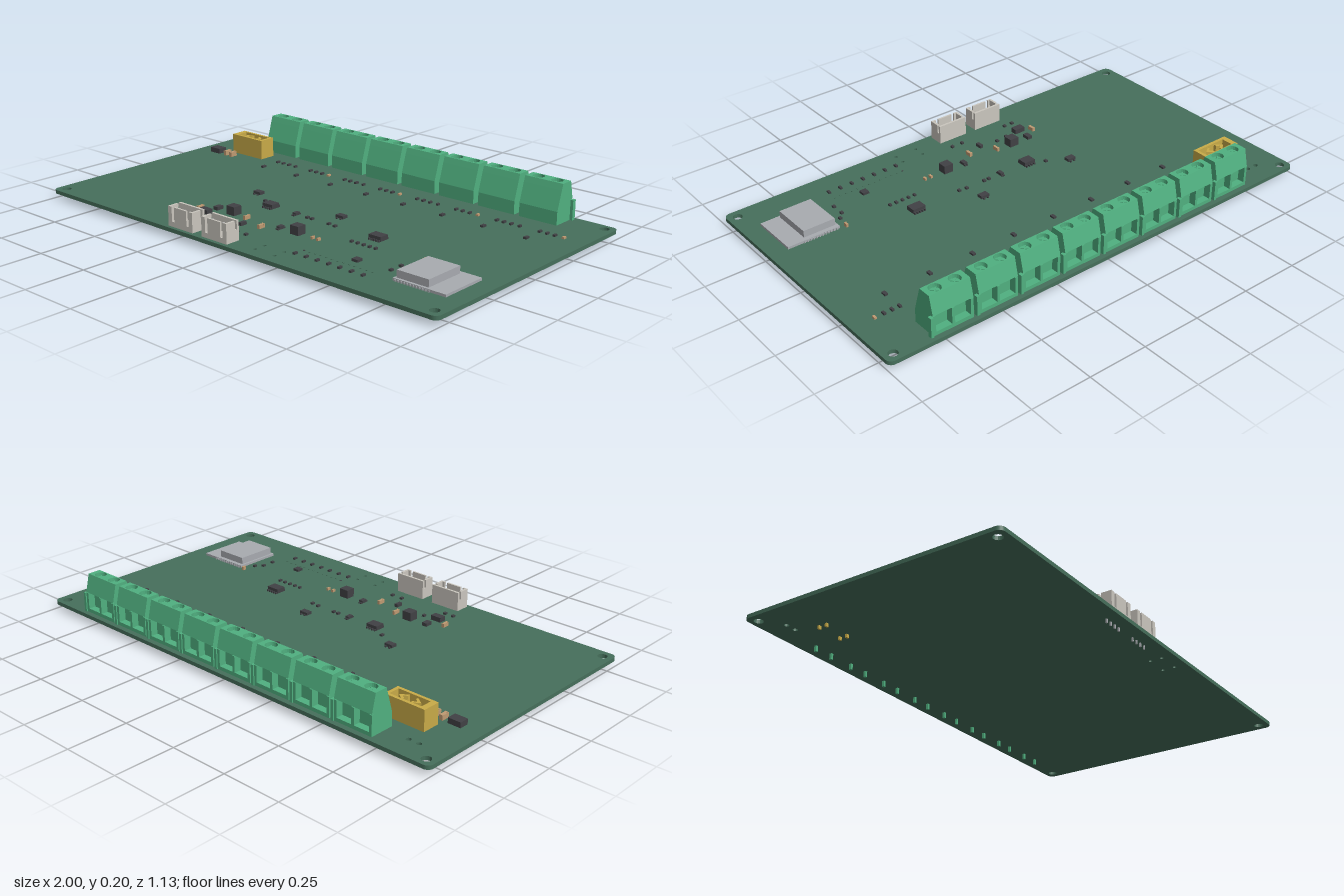
import * as THREE from 'three';

const mat = (name, color) => Object.assign(new THREE.MeshStandardMaterial({ color }), { name });

export function createModel() {
  const M = {
    board: mat('board green', 0x466f5b), green: mat('terminal green', 0x50b080),
    yellow: mat('connector yellow', 0xc8ab48), white: mat('header white', 0xcac6be),
    metal: mat('shield grey', 0xa8abb0), dark: mat('chip black', 0x414145),
    tan: mat('capacitor tan', 0xbf9a72),
  };
  const TOP = 0.04;
  const root = new THREE.Group();
  root.name = 'circuitBoard';
  const group = (name, parent = root) => {
    const g = new THREE.Group();
    g.name = name;
    parent.add(g);
    return g;
  };
  const mesh = (parent, name, geo, m) => {
    const o = new THREE.Mesh(geo, m);
    o.name = name;
    parent.add(o);
    return o;
  };
  // box given by its limits on each axis
  const box = (parent, name, m, x0, x1, y0, y1, z0, z1) => {
    const o = mesh(parent, name, new THREE.BoxGeometry(x1 - x0, y1 - y0, z1 - z0), m);
    o.position.set((x0 + x1) / 2, (y0 + y1) / 2, (z0 + z1) / 2);
    return o;
  };
  const poly = (pts) => new THREE.Shape(pts.map(([a, b]) => new THREE.Vector2(a, b)));
  const hole = (shape, x, z, r) => shape.holes.push(new THREE.Path().absarc(x, z, r, 0, Math.PI * 2, true));
  // plan outline (x, z) hung down from y = top
  const slab = (shape, top, depth) => new THREE.ExtrudeGeometry(shape, { depth, bevelEnabled: false, curveSegments: 10 })
    .rotateX(Math.PI / 2).translate(0, top, 0);
  // side outline (z, y) swept along x, centred
  const sweep = (pts, w) => new THREE.ExtrudeGeometry(poly(pts), { depth: w, bevelEnabled: false })
    .rotateY(-Math.PI / 2).translate(w / 2, 0, 0);

  // Board with rounded corners and drilled holes
  const outline = new THREE.Shape();
  const X = 1, Z = 0.567, R = 0.025;
  outline.absarc(X - R, Z - R, R, 0, Math.PI / 2);
  outline.absarc(-X + R, Z - R, R, Math.PI / 2, Math.PI);
  outline.absarc(-X + R, -Z + R, R, Math.PI, Math.PI * 1.5);
  outline.absarc(X - R, -Z + R, R, Math.PI * 1.5, Math.PI * 2);
  for (const x of [-0.96, 0.96]) for (const z of [-0.53, 0.527]) hole(outline, x, z, 0.019);
  for (const x of [-0.88, -0.835]) hole(outline, x, -0.47, 0.01);
  for (const x of [0.13, 0.23]) for (const z of [0.465, 0.515]) hole(outline, x, z, 0.007);
  mesh(root, 'board', slab(outline, TOP, 0.016), M.board);

  // Screw terminals: eight two-way blocks along the back edge
  const W = 0.172;
  const lower = sweep([[-0.44, TOP], [-0.44, 0.095], [-0.464, 0.175], [-0.533, 0.175], [-0.545, 0.125],
    [-0.515, 0.115], [-0.515, 0.055], [-0.545, 0.055], [-0.545, TOP]], W);
  const capShape = poly([[-W / 2, -0.527], [W / 2, -0.527], [W / 2, -0.472], [-W / 2, -0.472]]);
  for (const x of [-0.042, 0.042]) hole(capShape, x, -0.4995, 0.024);
  const cap = slab(capShape, 0.2, 0.025);
  const p = cap.attributes.position;
  for (let i = 0; i < p.count; i++) { // flare the foot of the cap to meet the slopes
    if (p.getY(i) > 0.19) continue;
    if (p.getZ(i) > -0.473) p.setZ(i, -0.464);
    if (p.getZ(i) < -0.526) p.setZ(i, -0.533);
  }
  cap.computeVertexNormals();
  const screw = new THREE.CylinderGeometry(0.02, 0.02, 0.012, 16);
  for (let i = 0; i < 8; i++) {
    const t = group('screwTerminal');
    t.position.x = -0.65 + i * 0.1955;
    mesh(t, 'terminalBody', lower, M.green);
    mesh(t, 'terminalCap', cap, M.green);
    for (const x of [-W / 2 + 0.006, 0, W / 2 - 0.006])
      box(t, 'openingWall', M.green, x - 0.006, x + 0.006, 0.05, 0.122, -0.545, -0.51);
    box(t, 'sideTab', M.green, W / 2, W / 2 + 0.012, TOP, 0.122, -0.55, -0.532);
    for (const x of [-0.042, 0.042]) {
      mesh(t, 'screw', screw, M.green).position.set(x, 0.18, -0.4995);
      for (const a of [1, -1]) {
        const slot = box(t, 'screwCross', M.green, x - 0.018, x + 0.018, 0.186, 0.19, -0.502, -0.497);
        slot.rotation.y = a * Math.PI / 4;
      }
      box(t, 'terminalPin', M.green, x - 0.005, x + 0.005, 0, 0.03, -0.505, -0.495);
    }
  }

  // Yellow power connector with an open pocket
  const power = group('powerConnector');
  const shell = poly([[-0.842, -0.398], [-0.662, -0.398], [-0.662, -0.323], [-0.842, -0.323]]);
  shell.holes.push(poly([[-0.818, -0.385], [-0.818, -0.336], [-0.676, -0.336], [-0.676, -0.385]]));
  mesh(power, 'powerShell', slab(shell, 0.125, 0.085), M.yellow);
  box(power, 'powerFloor', M.yellow, -0.83, -0.67, TOP, 0.085, -0.39, -0.33);
  for (const [x, s] of [[-0.785, 1], [-0.709, -1]]) {
    const chevron = poly([[-0.012, 0], [0.02, -0.022], [0.02, -0.01], [0.006, 0], [0.02, 0.01], [0.02, 0.022]]);
    const c = mesh(power, 'contactGuide', slab(chevron, 0.12, 0.04), M.yellow);
    c.position.set(x, 0, -0.36);
    c.rotation.y = s > 0 ? 0 : Math.PI;
  }
  for (const x of [-0.81, -0.7]) for (const z of [-0.375, -0.34])
    box(power, 'powerPin', M.yellow, x - 0.006, x + 0.006, 0.01, 0.03, z - 0.004, z + 0.004);

  // White four-pin headers at the front edge
  for (const cx of [-0.231, -0.047]) {
    const h = group('pinHeader');
    h.position.x = cx;
    const w = 0.067;
    box(h, 'headerFloor', M.white, -w, w, TOP, 0.06, 0.487, 0.551);
    box(h, 'headerRearWall', M.white, -w, w, 0.06, 0.12, 0.487, 0.497);
    for (const [a, b] of [[-w, -0.047], [-0.034, 0.034], [0.047, w]])
      box(h, 'headerFrontWall', M.white, a, b, 0.06, 0.12, 0.543, 0.551);
    for (const s of [-1, 1]) {
      const x = s * (w - 0.005);
      box(h, 'headerSide', M.white, x - 0.005, x + 0.005, 0.06, 0.12, 0.507, 0.543);
      box(h, 'headerSideLow', M.white, x - 0.005, x + 0.005, 0.06, 0.085, 0.497, 0.507);
    }
    for (let i = 0; i < 4; i++) {
      const x = -0.042 + i * 0.028;
      box(h, 'headerPin', M.metal, x - 0.003, x + 0.003, 0.008, 0.105, 0.51, 0.516);
    }
  }

  // Shielded radio module
  const radio = group('radioModule');
  box(radio, 'radioBase', M.metal, 0.695, 0.922, TOP, 0.05, 0.212, 0.417);
  box(radio, 'radioShield', M.metal, 0.704, 0.842, 0.05, 0.079, 0.23, 0.406);
  for (let i = 0; i < 12; i++) for (const z of [0.212, 0.417])
    box(radio, 'radioPad', M.metal, 0.705 + i * 0.013, 0.711 + i * 0.013, TOP, 0.048, z - 0.004, z + 0.004);

  // Chips: x, z, width, depth, height, legs on each long side
  const chips = group('chips');
  [[-0.89, -0.275, 0.055, 0.04, 0.024, 0], [-0.317, 0.043, 0.038, 0.026, 0.014, 2], [0.135, 0.043, 0.038, 0.026, 0.014, 2],
    [-0.16, 0.133, 0.052, 0.042, 0.02, 4], [0.395, 0.133, 0.058, 0.042, 0.02, 5], [-0.022, 0.133, 0.016, 0.026, 0.012, 2],
    [-0.295, 0.292, 0.022, 0.032, 0.016, 0], [-0.207, 0.292, 0.042, 0.04, 0.038, 0], [0.135, 0.292, 0.042, 0.04, 0.038, 0],
    [0.045, 0.292, 0.018, 0.026, 0.013, 2], [-0.297, 0.36, 0.048, 0.03, 0.022, 0], [-0.09, 0.36, 0.015, 0.03, 0.015, 0],
    [0.487, 0.36, 0.028, 0.028, 0.012, 0],
  ].forEach(([x, z, w, d, h, legs]) => {
    box(chips, 'chip', M.dark, x - w / 2, x + w / 2, TOP + 0.002, TOP + h, z - d / 2, z + d / 2);
    for (let i = 0; i < legs; i++) {
      const lx = x + ((i + 0.5) / legs - 0.5) * w;
      box(chips, 'chipLegs', M.dark, lx - 0.003, lx + 0.003, TOP, TOP + h * 0.4, z - d / 2 - 0.007, z + d / 2 + 0.007);
    }
  });

  // Tan capacitors with metal ends: x, z, width, depth, height
  const caps = group('capacitors');
  [[-0.83, -0.275, 0.015, 0.034, 0.02], [-0.797, -0.275, 0.015, 0.034, 0.02], [-0.13, 0.297, 0.01, 0.03, 0.015],
    [-0.353, 0.335, 0.012, 0.03, 0.015], [-0.016, 0.335, 0.012, 0.03, 0.015], [0.212, 0.292, 0.009, 0.016, 0.01],
    [0.24, 0.292, 0.009, 0.016, 0.01], [0.67, 0.207, 0.009, 0.016, 0.015],
  ].forEach(([x, z, w, d, h]) => {
    box(caps, 'capacitor', M.tan, x - w / 2, x + w / 2, TOP, TOP + h, z - d * 0.3, z + d * 0.3);
    for (const s of [-1, 1])
      box(caps, 'capacitorEnd', M.tan, x - w * 0.53, x + w * 0.53, TOP, TOP + h + 0.001, z + s * d * 0.4 - d * 0.1, z + s * d * 0.4 + d * 0.1);
  });

  // Small surface parts
  const smalls = group('smallParts');
  const small = (x, z, w = 0.01, d = 0.016, h = 0.008, m = M.dark) =>
    box(smalls, 'resistor', m, x - w / 2, x + w / 2, TOP, TOP + h, z - d / 2, z + d / 2);
  for (let i = 0; i < 8; i++) { // repeated input circuit behind each terminal
    const x = -0.57 + i * 0.1955;
    [0, 0.032, 0.066].forEach((dx) => small(x + dx, -0.335, 0.01, 0.018));
    small(x + 0.105, -0.335, 0.01, 0.016, 0.008, i % 2 ? M.tan : M.dark);
    small(x, -0.243, 0.014, 0.022);
  }
  for (let i = 0; i < 7; i++) small(0.273 + i * 0.0535, 0.452, 0.01, 0.018);
  for (let i = 0; i < 5; i++) small(0.342 + i * 0.029, 0.222, 0.01, 0.014);
  for (let i = 0; i < 13; i++) small(0.273 + i * 0.027, 0.405, 0.007, 0.006, 0.002, i ? M.board : M.dark);
  [[-0.23, 0.095], [0.038, 0.133], [0.062, 0.133], [0.15, 0.133], [0.185, 0.137], [0.66, 0.265], [0.635, 0.295],
    [0.635, 0.35], [-0.23, 0.355], [-0.176, 0.35], [-0.32, 0.43], [-0.28, 0.43], [-0.05, 0.43], [0, 0.43],
  ].forEach(([x, z]) => small(x, z, 0.012, 0.014));
  return root;
}
